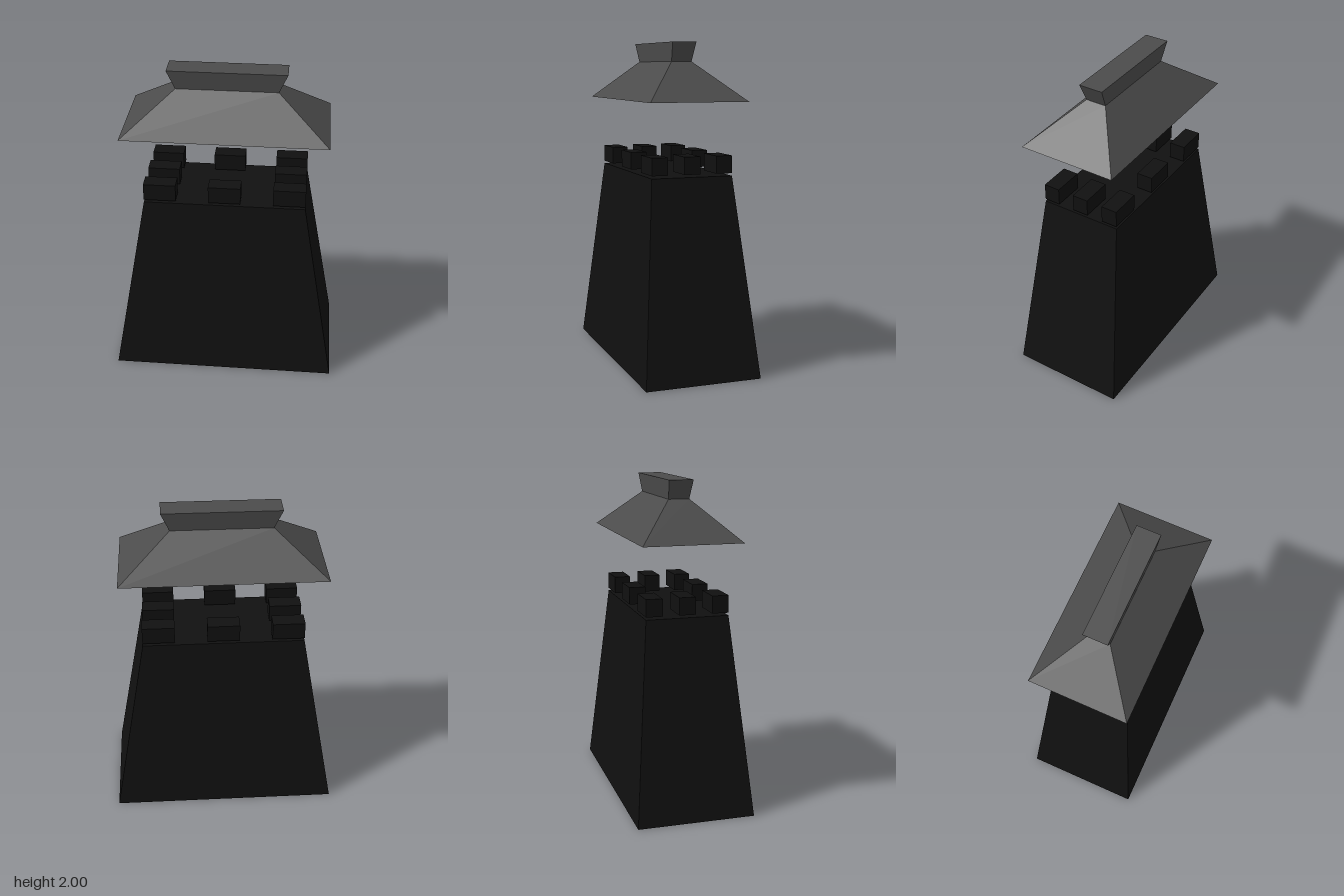
import * as THREE from 'three';

// Four-sided shell through rectangular rings [halfX, y, halfZ], open below, capped on top
function taperedShell(rings) {
  const corners = rings.map(([x, y, z]) => [[-x, y, z], [x, y, z], [x, y, -z], [-x, y, -z]]);
  const pos = [];
  const quad = (a, b, c, d) => pos.push(...a, ...b, ...c, ...a, ...c, ...d);
  for (let r = 0; r < rings.length - 1; r++) {
    const lo = corners[r], hi = corners[r + 1];
    for (let i = 0; i < 4; i++) {
      const j = (i + 1) % 4;
      quad(lo[i], lo[j], hi[j], hi[i]);
    }
  }
  quad(...corners[corners.length - 1]);
  const geo = new THREE.BufferGeometry();
  geo.setAttribute('position', new THREE.Float32BufferAttribute(pos, 3));
  geo.computeVertexNormals();
  return geo;
}

export function createModel() {
  const model = new THREE.Group();
  model.name = 'tower';

  const darkStone = new THREE.MeshStandardMaterial({ name: 'dark stone', color: 0x101010, side: THREE.DoubleSide, flatShading: true });
  const greyRoof = new THREE.MeshStandardMaterial({ name: 'grey roof', color: 0x4b4b4b, side: THREE.DoubleSide, flatShading: true });

  // Tapered tower walls with a flat deck
  const walls = new THREE.Mesh(taperedShell([[0.706, 0, 0.362], [0.493, 1.206, 0.254]]), darkStone);
  walls.name = 'towerWalls';
  model.add(walls);

  // Battlement blocks around the rim, hovering just above the deck
  const battlements = new THREE.Group();
  battlements.name = 'battlements';
  const block = new THREE.BoxGeometry(0.197, 0.106, 0.101);
  for (const ix of [-1, 0, 1]) {
    for (const iz of [-1, 0, 1]) {
      if (ix === 0 && iz === 0) continue;
      const merlon = new THREE.Mesh(block, darkStone);
      merlon.name = 'merlon';
      merlon.position.set(ix * 0.395, 1.275, iz * 0.203);
      battlements.add(merlon);
    }
  }
  model.add(battlements);

  // Floating hipped roof with a flared ridge
  const roof = new THREE.Mesh(taperedShell([
    [0.618, 1.651, 0.304],
    [0.306, 1.884, 0.064],
    [0.357, 2, 0.075],
  ]), greyRoof);
  roof.name = 'roof';
  model.add(roof);

  return model;
}
